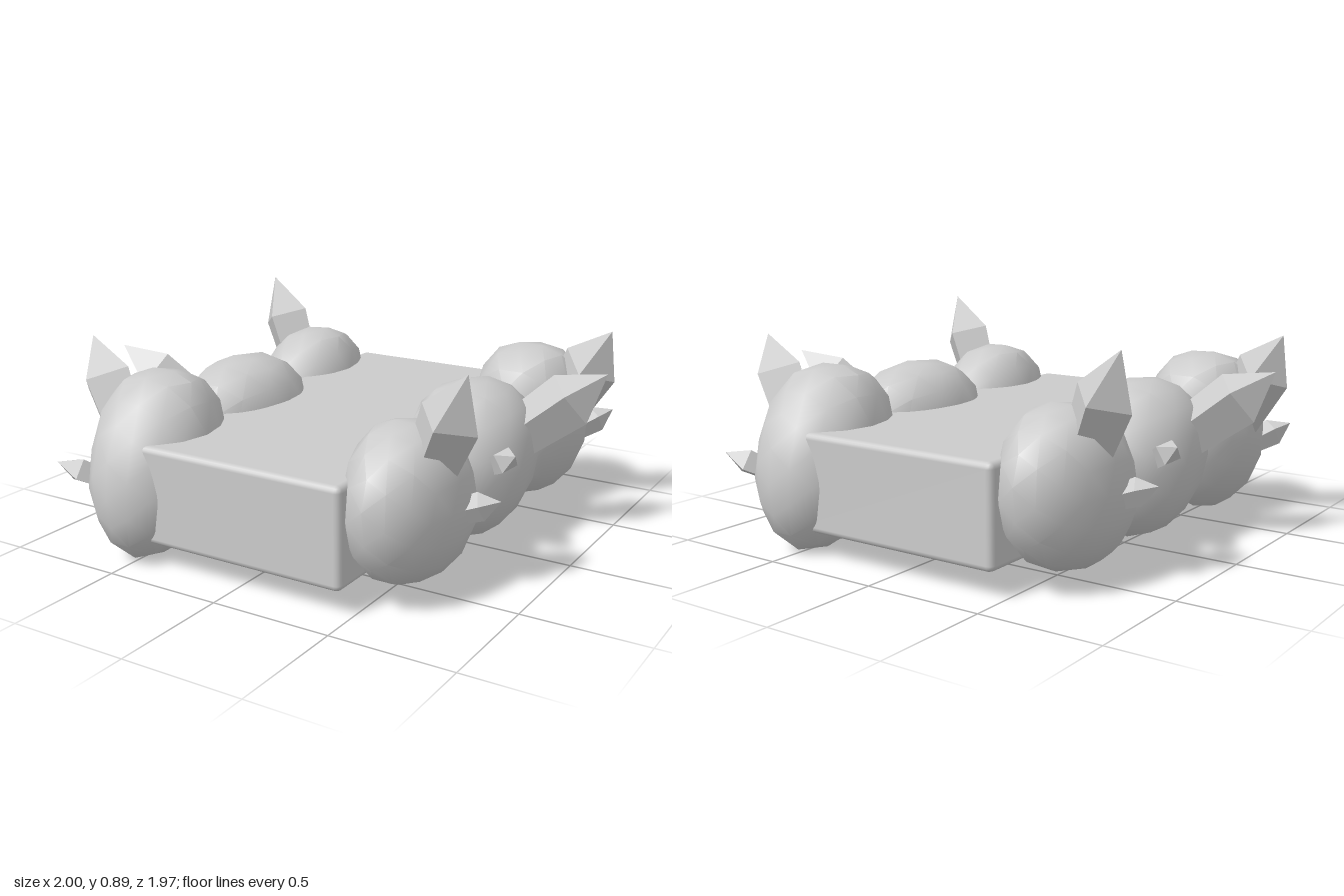
import * as THREE from 'three';
import { mergeVertices, toCreasedNormals } from 'three/addons/utils/BufferGeometryUtils.js';
import { RoundedBoxGeometry } from 'three/addons/geometries/RoundedBoxGeometry.js';

const stone = new THREE.MeshStandardMaterial({ color: 0xcccccc });
const facet = new THREE.MeshStandardMaterial({ color: 0xcccccc, flatShading: true });

// Boulder: low-poly ellipsoid, gently uneven, with a lean and a taper [x, z] along its height
function boulder({ at, radii, lean, taper, seed }) {
  let geo = new THREE.IcosahedronGeometry(1, 2);
  geo.deleteAttribute('normal');
  geo.deleteAttribute('uv');
  geo = mergeVertices(geo, 1e-3);
  const pos = geo.attributes.position, p = new THREE.Vector3();
  const [rx, ry, rz] = radii;
  for (let i = 0; i < pos.count; i++) {
    p.fromBufferAttribute(pos, i);
    const bump = 1 + 0.02 * Math.sin(4 * p.x + seed) * Math.cos(5 * p.y - seed) + 0.015 * Math.sin(6 * p.z + 2 * seed);
    // Fuller shoulders than a plain ellipsoid
    const full = bump * (1 + 0.12 * p.y * p.y * (1 - p.y * p.y));
    const y = p.y * full * ry;
    const x = p.x * full * (1 + taper[0] * p.y) * rx + lean[0] * y;
    const z = p.z * full * (1 + taper[1] * p.y) * rz + lean[1] * y;
    pos.setXYZ(i, x, y, z);
  }
  const mesh = new THREE.Mesh(toCreasedNormals(geo, 0.6), stone);
  mesh.position.set(...at);
  return mesh;
}

// Crystal: four-sided spike widening from its root to a girdle, then closing to a point
function crystal({ root, tip, width, girdle = 0.58, turn = 0 }) {
  const a = new THREE.Vector3(...root), b = new THREE.Vector3(...tip);
  const length = a.distanceTo(b);
  const profile = [[0, 0], [width * 0.42, 0], [width * 0.5, length * girdle], [0, length]];
  const geo = new THREE.LatheGeometry(profile.map(q => new THREE.Vector2(...q)), 4, turn);
  const mesh = new THREE.Mesh(geo, facet);
  mesh.position.copy(a);
  mesh.quaternion.setFromUnitVectors(new THREE.Vector3(0, 1, 0), b.sub(a).normalize());
  return mesh;
}

const boulders = [
  { name: 'endBoulder', at: [0.565, 0.36, 0.525], radii: [0.215, 0.318, 0.35], lean: [-0.02, 0.14], taper: [0.08, -0.1], seed: 1.3 },
  { name: 'middleBoulder', at: [0.53, 0.355, -0.075], radii: [0.245, 0.322, 0.352], lean: [-0.05, -0.04], taper: [0.12, 0.08], seed: 2.9 },
  { name: 'largeBoulder', at: [0.525, 0.365, -0.66], radii: [0.248, 0.367, 0.317], lean: [0.05, 0.2], taper: [0.1, -0.04], seed: 4.6 },
];

const crystals = [
  { name: 'endCrystal', root: [0.63, 0.46, 0.54], tip: [0.82, 0.89, 0.6], width: 0.24 },
  { name: 'middleCrystal', root: [0.65, 0.42, -0.16], tip: [1.0, 0.71, -0.31], width: 0.24, girdle: 0.62 },
  { name: 'largeBoulderCrystal', root: [0.68, 0.43, -0.66], tip: [0.91, 0.82, -0.59], width: 0.25, girdle: 0.58 },
  { name: 'endShard', root: [0.71, 0.32, 0.47], tip: [0.88, 0.38, 0.42], width: 0.11 },
  { name: 'middleShard', root: [0.69, 0.39, 0.09], tip: [0.82, 0.47, 0.17], width: 0.11, turn: 0.5 },
  { name: 'largeBoulderShard', root: [0.68, 0.29, -0.8], tip: [0.82, 0.38, -0.93], width: 0.12, turn: 0.3 },
];

export function createModel() {
  const model = new THREE.Group();
  model.name = 'crystalRockBridge';

  // Flat deck
  const deck = new THREE.Mesh(new RoundedBoxGeometry(0.95, 0.4, 1.77, 2, 0.025), stone);
  deck.name = 'deck';
  deck.position.y = 0.3;
  model.add(deck);

  // The same row of rocks on both sides, turned half way round
  for (const [side, angle] of [['left', 0], ['right', Math.PI]]) {
    const row = new THREE.Group();
    row.name = side + 'RockRow';
    row.rotation.y = angle;
    for (const [list, build] of [[boulders, boulder], [crystals, crystal]]) {
      for (const spec of list) {
        const mesh = build(spec);
        mesh.name = spec.name;
        row.add(mesh);
      }
    }
    model.add(row);
  }
  return model;
}
